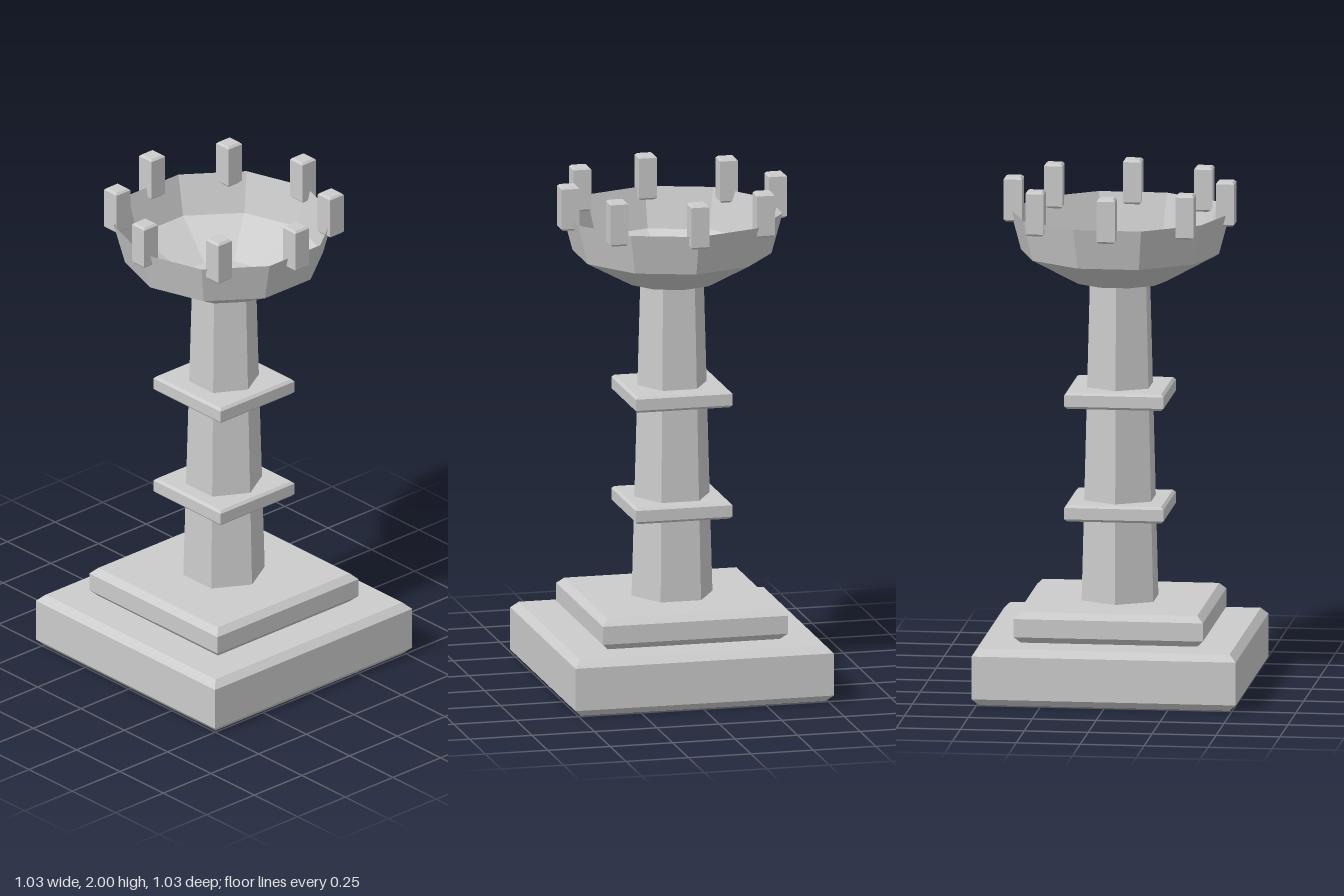
import * as THREE from 'three';

const stone = new THREE.MeshStandardMaterial({ color: 0xcccccc, flatShading: true });
const thinStone = new THREE.MeshStandardMaterial({ color: 0xcccccc, flatShading: true, side: THREE.DoubleSide });

// Faceted solid of revolution from [radius, height] pairs, listed from bottom to top
function faceted(profile, sides, start) {
  const points = profile.map(([r, y]) => new THREE.Vector2(r, y));
  const geometry = new THREE.LatheGeometry(points, sides, start).toNonIndexed();
  geometry.computeVertexNormals();
  return geometry;
}

// Square slab whose top and bottom edges are chamfered
function slab(half, y0, y1, bevel) {
  const outer = half * Math.SQRT2;
  const inner = (half - bevel) * Math.SQRT2;
  return faceted([
    [0, y0], [inner, y0], [outer, y0 + bevel],
    [outer, y1 - bevel], [inner, y1], [0, y1],
  ], 4, Math.PI / 4);
}

export function createModel() {
  const tower = new THREE.Group();
  tower.name = 'tower';

  function add(name, geometry, material = stone, parent = tower) {
    const mesh = new THREE.Mesh(geometry, material);
    mesh.name = name;
    parent.add(mesh);
    return mesh;
  }

  // Stepped foundation
  add('basePlinth', slab(0.517, 0, 0.223, 0.027));
  add('upperPlinth', slab(0.37, 0.223, 0.345, 0.025));

  // Tapered hexagonal shaft, with a corner facing front
  add('shaft', faceted([[0, 0.34], [0.162, 0.34], [0.127, 1.602], [0, 1.602]], 6, 0));

  // Square collars round the shaft
  add('lowerCollar', slab(0.194, 0.675, 0.74, 0.01));
  add('upperCollar', slab(0.194, 1.12, 1.185, 0.01));

  // Thin ten-sided open bowl, with corners on the x axis
  add('bowl', faceted([[0, 1.6], [0.185, 1.6], [0.387, 1.71], [0.43, 1.87]], 10, Math.PI / 2), thinStone);

  // Ring of battlement posts, all square to the axes
  const battlements = new THREE.Group();
  battlements.name = 'battlements';
  tower.add(battlements);
  const post = slab(0.036, 1.825, 2, 0.008);
  for (let i = 0; i < 8; i++) {
    const a = (i * Math.PI) / 4;
    const mesh = add('battlementPost' + (i + 1), post, stone, battlements);
    mesh.position.set(0.415 * Math.sin(a), 0, 0.415 * Math.cos(a));
  }

  return tower;
}
